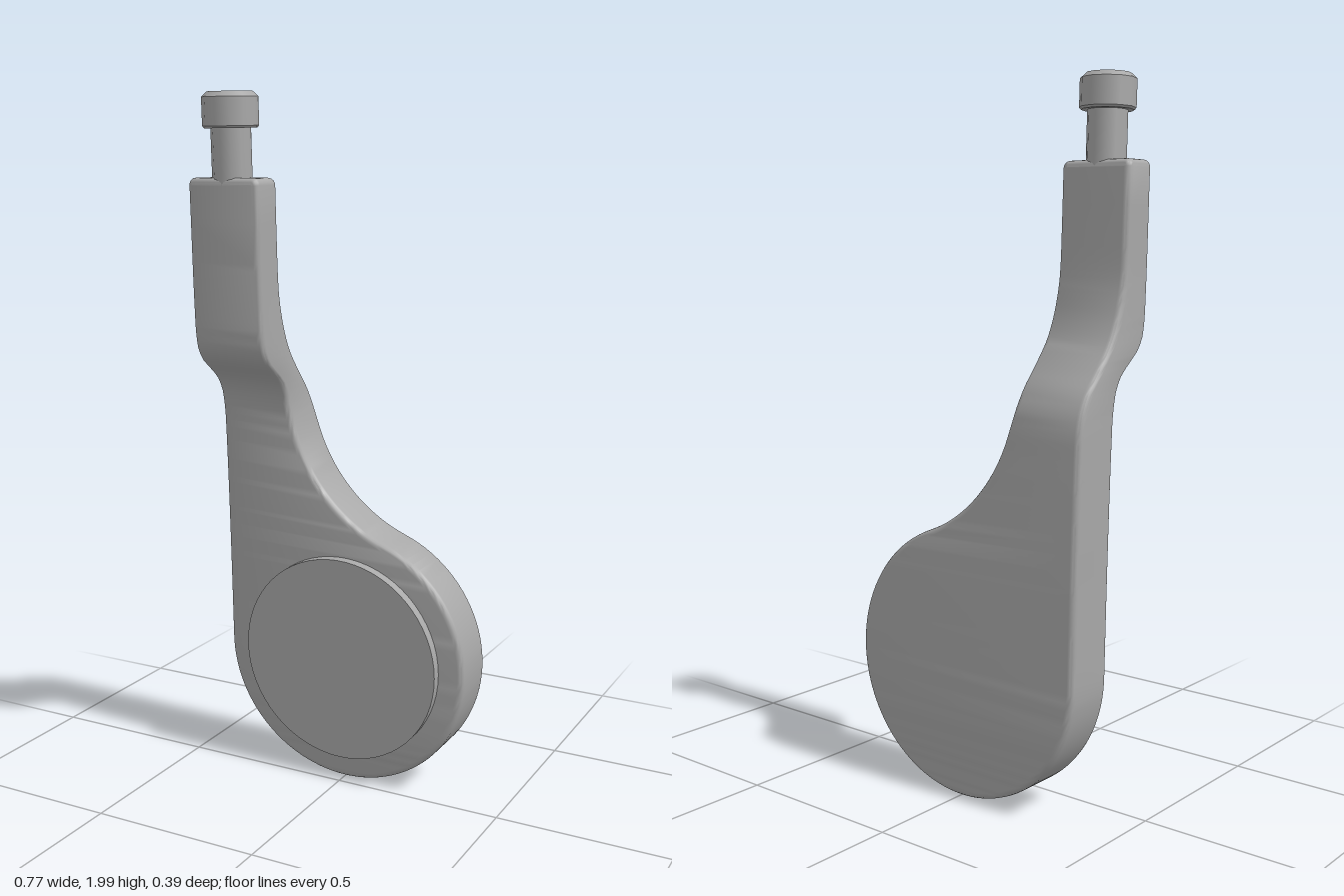
import * as THREE from 'three';
import { toCreasedNormals } from 'three/addons/utils/BufferGeometryUtils.js';

// Side profile of the arm: [y, z] points for the front and back faces
const FRONT = [[0, -0.031], [1.07, 0.004], [1.15, 0.016], [1.2, 0.042], [1.24, 0.09], [1.27, 0.125], [1.31, 0.145], [1.37, 0.153], [1.78, 0.168]];
const BACK = [[0, -0.19], [1.04, -0.155], [1.1, -0.145], [1.16, -0.118], [1.22, -0.068], [1.3, -0.008], [1.38, 0.025], [1.46, 0.043], [1.52, 0.048], [1.78, 0.058]];

// Smooth, overshoot-free interpolation along a rising profile
function sample(pts, y) {
  const n = pts.length - 1;
  let i = 0;
  while (i < n - 1 && y > pts[i + 1][0]) i++;
  const slope = (k) => (pts[k + 1][1] - pts[k][1]) / (pts[k + 1][0] - pts[k][0]);
  const tangent = (k) => {
    if (k === 0) return slope(0);
    if (k === n) return slope(n - 1);
    const a = slope(k - 1), b = slope(k);
    return (2 * a * b) / (a + b);
  };
  const h = pts[i + 1][0] - pts[i][0], t = (y - pts[i][0]) / h;
  const t2 = t * t, t3 = t2 * t;
  return (2 * t3 - 3 * t2 + 1) * pts[i][1] + (t3 - 2 * t2 + t) * h * tangent(i)
    + (3 * t2 - 2 * t3) * pts[i + 1][1] + (t3 - t2) * h * tangent(i + 1);
}

// Rows of [y, left x, right x]: round base, concave shoulder, straight neck
function outlineRows() {
  const R = 0.383, cy = 0.39, r = 0.463, sx = 0.303, sy = 1.18;
  const rows = [];
  const join = Math.atan2(sy - cy, sx);
  const start = -Math.PI / 2 + 0.04;
  for (let i = 0; i <= 44; i++) {
    const a = start + (join - start) * i / 44;
    const x = R * Math.cos(a);
    rows.push([cy + R * Math.sin(a), a < 0 ? -x : -R, x]);
  }
  for (let i = 1; i <= 26; i++) {
    const a = Math.PI + join * (1 - i / 26);
    rows.push([sy + r * Math.sin(a), -R, sx + r * Math.cos(a)]);
  }
  for (let y = 1.2; y < 1.55; y += 0.02) rows.push([y, -R, -0.16]);
  rows.push([1.65, -R, -0.16]);
  for (let i = 0; i <= 4; i++) {
    const a = i * Math.PI / 8, c = 0.02 * (1 - Math.cos(a));
    rows.push([1.75 + 0.02 * Math.sin(a), -R + c, -0.16 - c]);
  }
  return rows;
}

function armGeometry() {
  const rows = outlineRows(), n = rows.length, bevel = 0.018, steps = 4;
  const ring = [
    ...rows.map(([y, , x]) => new THREE.Vector2(x, y)),
    ...rows.map(([y, x]) => new THREE.Vector2(x, y)).reverse(),
  ];
  const m = ring.length;
  const normals = ring.map((p, j) => {
    const d1 = p.clone().sub(ring[(j + m - 1) % m]).normalize();
    const d2 = ring[(j + 1) % m].clone().sub(p).normalize();
    const d = d1.add(d2).normalize();
    return new THREE.Vector2(d.y, -d.x);
  });

  // Rounded edge levels, from the front face round to the back face
  const levels = [];
  for (let k = 0; k <= steps; k++) {
    const a = k / steps * Math.PI / 2;
    levels.push([bevel * (1 - Math.sin(a)), bevel * (1 - Math.cos(a)), true]);
  }
  for (const [inset, depth] of [...levels].reverse()) levels.push([inset, depth, false]);

  const pos = [], index = [];
  const quad = (a, b, c, d) => index.push(a, b, c, a, c, d);
  for (const [inset, depth, front] of levels) {
    ring.forEach((p, j) => {
      const x = p.x - normals[j].x * inset, y = p.y - normals[j].y * inset;
      pos.push(x, y, front ? sample(FRONT, y) - depth : sample(BACK, y) + depth);
    });
  }
  for (let l = 0; l < levels.length - 1; l++) {
    for (let j = 0; j < m; j++) {
      const k = (j + 1) % m;
      quad(l * m + j, (l + 1) * m + j, (l + 1) * m + k, l * m + k);
    }
  }
  // Front and back faces, strung between the right and left edges
  const last = (levels.length - 1) * m;
  for (let i = 0; i < n - 1; i++) {
    const l0 = m - 1 - i, l1 = m - 2 - i;
    quad(i, i + 1, l1, l0);
    quad(last + l0, last + l1, last + i + 1, last + i);
  }
  const g = new THREE.BufferGeometry();
  g.setAttribute('position', new THREE.Float32BufferAttribute(pos, 3));
  g.setIndex(index);
  return toCreasedNormals(g, 0.6);
}

export function createModel() {
  const model = new THREE.Group();
  model.name = 'lever';
  const grey = new THREE.MeshStandardMaterial({ color: 0xa8a8a8 });
  grey.name = 'grey metal';

  const add = (name, geometry, parent = model) => {
    const mesh = new THREE.Mesh(geometry, grey);
    mesh.name = name;
    parent.add(mesh);
    return mesh;
  };

  add('arm', armGeometry());

  // Raised round pad, lying along the leaning front face
  const pad = add('pad', new THREE.CylinderGeometry(0.307, 0.307, 0.05, 64));
  pad.position.set(0, 0.39, -0.017);
  pad.rotation.x = Math.PI / 2 + 0.033;

  // Pin with a chamfered head at the top of the arm
  const pin = new THREE.Group();
  pin.name = 'pin';
  pin.position.set(-0.27, 1.75, 0.112);
  pin.rotation.x = 0.033;
  model.add(pin);
  const section = (name, top, bottom, y0, y1) => {
    const mesh = add(name, new THREE.CylinderGeometry(top, bottom, y1 - y0, 12), pin);
    mesh.position.y = (y0 + y1) / 2;
  };
  section('shaft', 0.055, 0.055, 0, 0.16);
  section('headLowerRim', 0.077, 0.072, 0.152, 0.158);
  section('head', 0.077, 0.077, 0.158, 0.234);
  section('headChamfer', 0.062, 0.077, 0.234, 0.248);

  return model;
}
